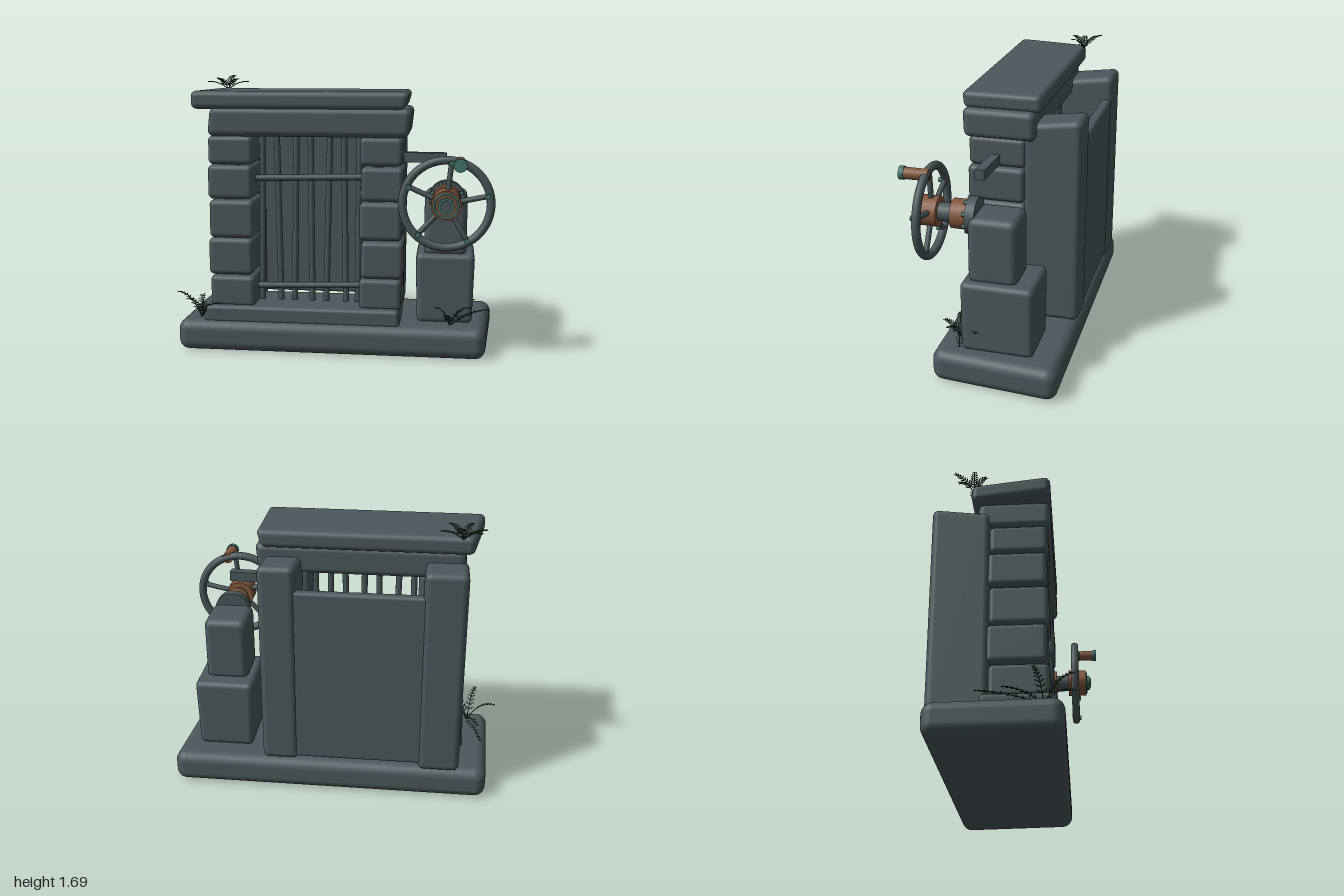
import * as THREE from 'three';
import { RoundedBoxGeometry } from 'three/addons/geometries/RoundedBoxGeometry.js';
import { mergeGeometries } from 'three/addons/utils/BufferGeometryUtils.js';

const mat = (name, color, side = THREE.FrontSide) => {
  const m = new THREE.MeshStandardMaterial({ color, side });
  m.name = name;
  return m;
};

export function createModel() {
  const model = new THREE.Group();
  model.name = 'sluiceGate';
  const stone = mat('stone', 0x4b585c);
  const iron = mat('iron', 0x4a575b);
  const copper = mat('copper', 0x83573d);
  const patina = mat('patina', 0x41776b);
  const leaf = mat('fern', 0x1e3a26, THREE.DoubleSide);

  const add = (name, geometry, material, parent = model) => {
    const mesh = new THREE.Mesh(geometry, material);
    mesh.name = name;
    parent.add(mesh);
    return mesh;
  };

  // Rounded block between two corners, with an optional rule bending its vertices
  function block(name, [x0, x1], [y0, y1], [z0, z1], r, warp, material = stone) {
    const g = new RoundedBoxGeometry(x1 - x0, y1 - y0, z1 - z0, 4, r);
    g.translate((x0 + x1) / 2, (y0 + y1) / 2, (z0 + z1) / 2);
    if (warp) {
      const p = g.attributes.position;
      const v = new THREE.Vector3();
      for (let i = 0; i < p.count; i++) {
        v.fromBufferAttribute(p, i);
        warp(v);
        p.setXYZ(i, v.x, v.y, v.z);
      }
    }
    return add(name, g, material);
  }

  // Rod between two points
  function rod(name, a, b, r, material, parent = model, sides = 12) {
    const A = new THREE.Vector3(...a), B = new THREE.Vector3(...b);
    const mesh = add(name, new THREE.CylinderGeometry(r, r, A.distanceTo(B), sides), material, parent);
    mesh.position.copy(A).lerp(B, 0.5);
    mesh.quaternion.setFromUnitVectors(new THREE.Vector3(0, 1, 0), B.sub(A).normalize());
    return mesh;
  }

  // Footing slab, widening towards the back on the right
  block('base', [-0.945, 0.97], [0.005, 0.2], [-0.467, 0.28], 0.065, v => {
    if (v.x > 0) v.x += 0.028 * v.x * (-v.z - 0.1) / 0.37;
    else v.x += 0.012 * (-v.z) / 0.4;
  });
  block('sill', [-0.79, 0.425], [0.18, 0.29], [-0.18, 0.24], 0.025, v => {
    if (v.y > 0.24) v.x *= 0.985;
  });

  // Stacked pillar stones either side of the opening
  const courses = [0.275, 0.475, 0.71, 0.95, 1.165, 1.345];
  const shift = [0.005, -0.006, 0.004, -0.004, 0.003];
  for (let i = 0; i < 5; i++) {
    const y = [courses[i], courses[i + 1] - 0.004], s = shift[i];
    block('leftPillarStone', [-0.76 + s, -0.48 + s], y, [-0.145 + s, 0.195 + s], 0.032);
    block('rightPillarStone', [0.175 - s, 0.435 - s], y, [-0.145 - s, 0.195 - s], 0.032);
  }

  // Lintel and overhanging cap
  block('lintel', [-0.75, 0.475], [1.338, 1.515], [-0.21, 0.215], 0.04, v => {
    v.x += 0.01 * (v.y - 1.42) / 0.09;
  });
  block('capStone', [-0.855, 0.455], [1.502, 1.612], [-0.245, 0.217], 0.035, v => {
    if (v.x > 0) v.x += 0.015 * (v.y - 1.555) / 0.055;
    else if (v.z < 0.2) v.x += 0.065 * (0.2 - v.z) / 0.44;
  });

  // Rear buttresses with sloped tops and the wall between them
  const slope = v => { if (v.y > 1) v.y += 0.13 * (-v.z - 0.46); };
  block('leftButtress', [-0.765, -0.515], [0.195, 1.475], [-0.475, -0.13], 0.04, slope);
  block('rightButtress', [0.21, 0.43], [0.215, 1.475], [-0.47, -0.13], 0.04, slope);
  block('rearWall', [-0.54, 0.23], [0.235, 1.325], [-0.462, -0.4], 0.02);

  // Gate grille
  [-0.45, -0.345, -0.24, -0.14, -0.035, 0.07, 0.155].forEach((x, i) => {
    const lean = [0.006, -0.01, 0.008, -0.004, 0.012, -0.006, 0.004][i];
    rod('gateBar', [x - lean, 0.295, 0.04], [x + lean, 1.345, 0.04], 0.019, iron);
  });
  rod('upperCrossbar', [-0.49, 1.07, 0.06], [0.19, 1.085, 0.06], 0.02, iron);
  rod('lowerCrossbar', [-0.49, 0.385, 0.06], [0.19, 0.405, 0.06], 0.02, iron);

  // Pedestal and side bracket
  block('pedestalLower', [0.52, 0.867], [0.19, 0.625], [-0.305, 0.12], 0.035, v => {
    v.x += (v.y > 0.5 ? 0.006 : -0.004) * Math.sign(v.x - 0.69);
  });
  block('pedestalUpper', [0.562, 0.822], [0.6, 1.0], [-0.2, 0.088], 0.045);
  const bracket = add('bracket', new THREE.BoxGeometry(0.3, 0.06, 0.055), iron);
  bracket.position.set(0.54, 1.21, 0.037);
  bracket.rotation.y = -0.06;

  // Hand wheel: everything turns about a z axis through the group's origin
  const wheel = new THREE.Group();
  wheel.name = 'handWheel';
  wheel.position.set(0.695, 0.97, 0);
  model.add(wheel);
  const disc = (name, r, z0, z1, m) => rod(name, [0, 0, z0], [0, 0, z1], r, m, wheel, 32);
  disc('mountPlate', 0.108, 0.05, 0.105, iron);
  disc('rearFlange', 0.086, 0.1, 0.2, copper);
  disc('axle', 0.054, 0.19, 0.29, iron);
  disc('hub', 0.088, 0.28, 0.4, copper);
  disc('hubCap', 0.048, 0.4, 0.425, patina);
  disc('hubPin', 0.034, 0.42, 0.435, iron);
  add('hubRing', new THREE.TorusGeometry(0.07, 0.007, 8, 32), patina, wheel).position.z = 0.4;

  for (let i = 0; i < 8; i++) {
    const a = (i + 0.5) * Math.PI / 4, x = 0.094 * Math.cos(a), y = 0.094 * Math.sin(a);
    rod('plateBolt', [x, y, 0.1], [x, y, 0.122], 0.014, patina, wheel, 6);
  }

  const R = 0.257;
  add('rim', new THREE.TorusGeometry(R, 0.025, 12, 56), iron, wheel).position.z = 0.327;
  for (let i = 0; i < 5; i++) {
    const a = THREE.MathUtils.degToRad(84 + i * 72), c = Math.cos(a), s = Math.sin(a);
    rod('spoke', [c * 0.07, s * 0.07, 0.327], [c * R, s * R, 0.327], 0.016, iron, wheel);
    rod('rimBolt', [c * 0.243, s * 0.243, 0.335], [c * 0.243, s * 0.243, 0.362], 0.016, patina, wheel, 8);
  }

  // Crank grip on the rim
  rod('grip', [0.075, 0.243, 0.31], [0.075, 0.243, 0.452], 0.034, copper, wheel, 20);
  rod('gripCap', [0.075, 0.243, 0.45], [0.075, 0.243, 0.478], 0.039, patina, wheel, 20);

  // One arching frond: a thin stem with paired tapering leaflets
  function frond(dx, dz, height) {
    const reach = Math.hypot(dx, dz);
    const curve = new THREE.QuadraticBezierCurve3(
      new THREE.Vector3(),
      new THREE.Vector3(dx * 0.4, height * 0.95, dz * 0.4),
      new THREE.Vector3(dx, height * 0.9, dz));
    const across = new THREE.Vector3(-dz, 0, dx).divideScalar(reach);
    const stem = new THREE.TubeGeometry(curve, 10, 0.003, 4).toNonIndexed();
    stem.deleteAttribute('uv');
    const pts = [];
    for (let i = 2; i <= 9; i++) {
      const t = i / 9.3, p = curve.getPoint(t), d = curve.getTangent(t);
      const len = 0.036 * (1.15 - t * 0.8);
      for (const side of [-1, 1]) {
        const tip = p.clone().addScaledVector(across, side * len).addScaledVector(d, len * 0.6);
        const mid = p.clone().lerp(tip, 0.5);
        const e = mid.clone().addScaledVector(d, 0.006), f = mid.clone().addScaledVector(d, -0.006);
        for (const q of [p, e, tip, p, tip, f]) pts.push(q.x, q.y, q.z);
      }
    }
    const leaves = new THREE.BufferGeometry();
    leaves.setAttribute('position', new THREE.Float32BufferAttribute(pts, 3));
    leaves.computeVertexNormals();
    return mergeGeometries([stem, leaves]);
  }

  // Fern clumps: root position, then [dx, dz, height] of each frond
  const clumps = [
    [[-0.82, 0.19, 0.17], [[-0.17, -0.05, 0.17], [-0.06, -0.22, 0.1], [0.1, 0.16, 0.14],
      [-0.05, 0.16, 0.18], [-0.08, -0.36, 0.07], [0.12, 0.05, 0.12]]],
    [[0.73, 0.19, 0.17], [[0.24, -0.08, 0.1], [0.15, -0.15, 0.15], [0.12, 0.03, 0.14],
      [-0.09, 0.02, 0.13], [-0.03, 0.1, 0.1]]],
    [[-0.72, 1.6, -0.24], [[-0.1, -0.1, 0.08], [0.02, -0.09, 0.1], [0.13, -0.02, 0.06],
      [0.08, 0.07, 0.08], [-0.05, 0.08, 0.08], [-0.13, 0.02, 0.06]]],
  ];
  for (const [root, fronds] of clumps) {
    const fern = add('fern', mergeGeometries(fronds.map(f => frond(...f))), leaf);
    fern.position.set(...root);
  }

  return model;
}
